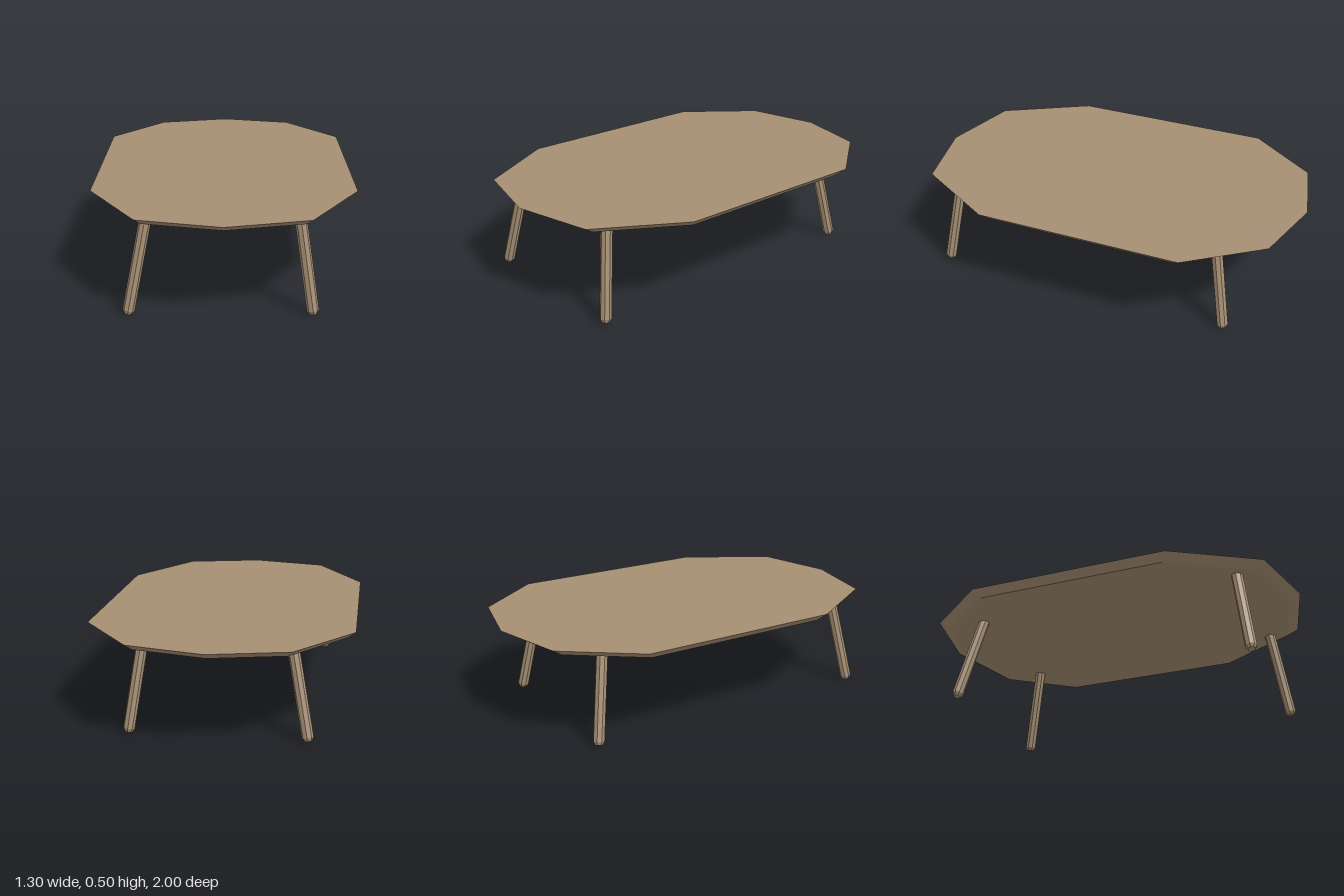
import * as THREE from 'three';

const wood = new THREE.MeshStandardMaterial({ color: 0xa58e73 });
wood.name = 'wood';
wood.flatShading = true;

const TOP_Y = 0.497, THICKNESS = 0.037;

// Ten-sided slab whose underside is drawn in to give a bevelled rim
function createTabletop() {
  const half = [[0, -1], [0.38, -0.91], [0.65, -0.56], [0.65, 0.48], [0.4, 0.905], [0, 1]];
  const mirrored = half.slice(1, -1).reverse().map(([x, z]) => [-x, z]);
  const outline = new THREE.Shape([...half, ...mirrored].map(([x, z]) => new THREE.Vector2(x, z)));
  const geometry = new THREE.ExtrudeGeometry(outline, { depth: THICKNESS, bevelEnabled: false });
  geometry.rotateX(Math.PI / 2);
  const p = geometry.attributes.position;
  for (let i = 0; i < p.count; i++) {
    if (p.getY(i) < -THICKNESS / 2) p.setXYZ(i, p.getX(i) * 0.94, p.getY(i), p.getZ(i) * 0.94);
  }
  geometry.computeVertexNormals();
  const top = new THREE.Mesh(geometry, wood);
  top.name = 'tabletop';
  top.position.y = TOP_Y;
  return top;
}

// Octagonal leg with a chamfered foot, leaning from foot to head
function createLeg(name, foot, head) {
  const axis = head.clone().sub(foot);
  const length = axis.length();
  const profile = [[0, 0], [0.019, 0], [0.029, 0.018], [0.029, length], [0, length]]
    .map(([r, y]) => new THREE.Vector2(r, y));
  const leg = new THREE.Mesh(new THREE.LatheGeometry(profile, 8), wood);
  leg.name = name;
  leg.position.copy(foot);
  leg.quaternion.setFromUnitVectors(new THREE.Vector3(0, 1, 0), axis.normalize());
  return leg;
}

export function createModel() {
  const table = new THREE.Group();
  table.name = 'table';
  table.add(createTabletop());

  // Foot and head positions along each axis
  const sides = [['Left', 0.42, 0.354], ['Right', -0.447, -0.358]];
  const ends = [['front', 0.827, 0.756], ['back', -0.726, -0.645]];
  for (const [end, footZ, headZ] of ends) {
    for (const [side, footX, headX] of sides) {
      table.add(createLeg(`${end}${side}Leg`,
        new THREE.Vector3(footX, 0.005, footZ), new THREE.Vector3(headX, 0.463, headZ)));
    }
  }
  return table;
}
